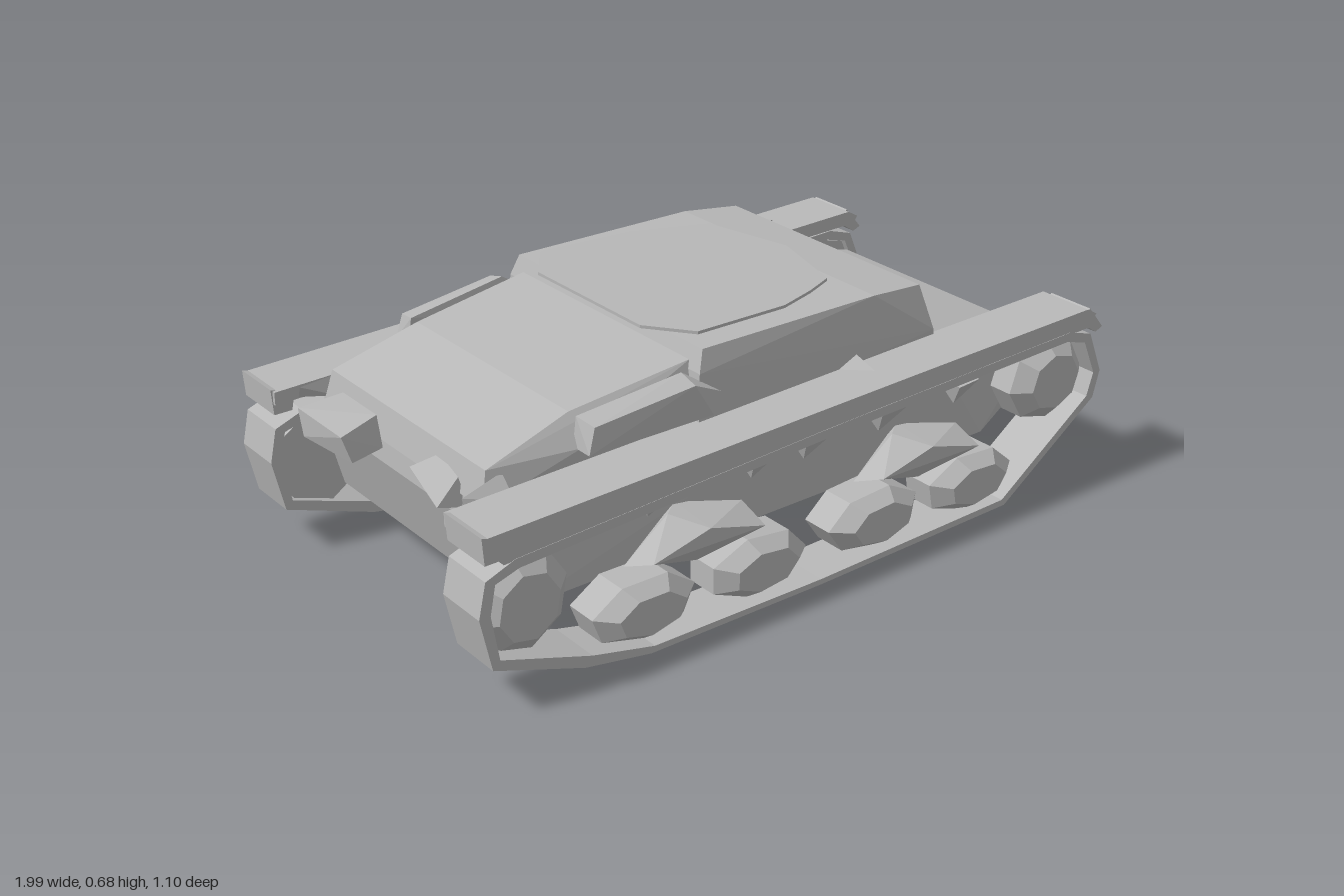
import * as THREE from 'three';
import { ConvexGeometry } from 'three/addons/geometries/ConvexGeometry.js';

const grey = new THREE.MeshStandardMaterial({ color: 0xb8b8b8, flatShading: true });

export function createModel() {
  const root = new THREE.Group();
  root.name = 'tank';

  const add = (name, geometry) => {
    const mesh = new THREE.Mesh(geometry, grey);
    mesh.name = name;
    root.add(mesh);
    return mesh;
  };
  // faceted solid around a few corner points
  const solid = (name, pts) =>
    add(name, new ConvexGeometry(pts.map((p) => new THREE.Vector3(...p))));
  // side profile [x, y] swept between two z values
  const slab = (name, profile, z0, z1) =>
    solid(name, profile.flatMap(([x, y]) => [[x, y, z0], [x, y, z1]]));
  // symmetric solid from [x, y, half width]
  const sym = (name, rows) =>
    solid(name, rows.flatMap(([x, y, w]) => [[x, y, w], [x, y, -w]]));

  // lower hull with sloped nose
  sym('hull', [
    [-0.8, 0.155, 0.4], [0.7, 0.155, 0.4], [0.86, 0.235, 0.38], [0.92, 0.385, 0.39],
    [0.48, 0.49, 0.4], [-0.85, 0.45, 0.37], [-0.86, 0.36, 0.38],
  ]);

  // sloped engine deck
  sym('engineDeck', [
    [-0.86, 0.42, 0.36], [-0.84, 0.505, 0.345], [-0.6, 0.575, 0.33], [-0.26, 0.62, 0.35],
    [-0.6, 0.5, 0.38], [-0.25, 0.45, 0.4],
  ]);

  // fighting compartment
  sym('superstructure', [
    [-0.28, 0.46, 0.41], [0.5, 0.47, 0.4], [0.5, 0.51, 0.4], [-0.25, 0.655, 0.385],
    [0.3, 0.65, 0.385], [0.47, 0.632, 0.37], [-0.27, 0.6, 0.4],
  ]);

  // thin roof plate, tilted towards the nose
  const roof = [
    [-0.31, -0.21], [-0.31, 0.22], [-0.22, 0.33], [0.06, 0.32], [0.18, 0.28], [0.27, 0.24],
    [0.34, 0], [0.28, -0.25], [0.06, -0.32], [-0.22, -0.33],
  ];
  solid('roofPlate', roof.flatMap(([x, z]) => {
    const y = 0.667 - 0.03 * x;
    return [[x, y, z], [x, y - 0.008, z]];
  }));

  // gusset from the front plate out to the fender
  solid('frontGusset', [
    [0.48, 0.632, -0.22], [0.49, 0.58, -0.4], [0.49, 0.505, -0.54], [0.49, 0.48, -0.4],
    [0.475, 0.632, -0.22], [0.484, 0.505, -0.54], [0.484, 0.48, -0.4],
  ]);

  // rear exhaust boxes
  solid('exhaustBox', [
    [-0.86, 0.4, -0.27], [-0.86, 0.48, -0.26], [-0.98, 0.47, -0.27], [-0.98, 0.4, -0.25],
    [-0.86, 0.4, -0.08], [-0.86, 0.48, -0.1], [-0.97, 0.46, -0.08], [-0.95, 0.39, -0.07],
  ]);
  solid('rearHook', [
    [-0.84, 0.38, 0.13], [-0.84, 0.47, 0.15], [-0.91, 0.45, 0.13],
    [-0.92, 0.4, 0.26], [-0.84, 0.38, 0.27], [-0.86, 0.46, 0.26],
  ]);

  // running gear profiles
  const outer = [
    [-1, 0.27], [-0.97, 0.13], [-0.72, 0.04], [-0.53, 0.005], [0.0, 0], [0.65, 0.01],
    [0.97, 0.235], [0.99, 0.31], [0.94, 0.43], [0.86, 0.455], [0, 0.43], [-0.9, 0.39], [-0.98, 0.36],
  ];
  const inner = [
    [-0.97, 0.27], [-0.95, 0.15], [-0.7, 0.065], [-0.52, 0.022], [0.0, 0.015], [0.64, 0.028],
    [0.945, 0.245], [0.965, 0.31], [0.92, 0.41], [0.85, 0.43], [0, 0.405], [-0.89, 0.365], [-0.955, 0.345],
  ];
  const toV2 = (list) => list.map(([x, y]) => new THREE.Vector2(x, y));
  const trackShape = new THREE.Shape(toV2(outer));
  trackShape.holes.push(new THREE.Path(toV2(inner)));

  // faceted wheel: full rim inboard, smaller offset face outboard
  const wheel = (name, s, x, y, rx, ry, n, turn, z0 = 0.42, z1 = 0.53) => {
    const pts = [];
    for (let i = 0; i < n; i++) {
      const a = turn + (i / n) * Math.PI * 2;
      const c = Math.cos(a), d = Math.sin(a);
      pts.push([x + rx * c, y + ry * d, s * z0], [x + rx * c, y + ry * d, s * (z1 - 0.04)]);
      pts.push([x + rx * 0.65 * c, y + ry * 0.65 * d, s * z1]);
    }
    solid(name, pts);
  };

  for (const s of [1, -1]) {
    const side = s > 0 ? 'Near' : 'Far';

    const track = add('track' + side,
      new THREE.ExtrudeGeometry(trackShape, { depth: 0.147, bevelEnabled: false }));
    track.position.z = s > 0 ? 0.402 : -0.549;

    // fender with turned-down nose and lip
    slab('fender' + side, [
      [-0.98, 0.43], [-0.98, 0.465], [0.3, 0.493], [0.92, 0.505], [0.955, 0.485], [0.94, 0.465],
    ], s * 0.39, s * 0.55);
    slab('fenderLip' + side, [
      [-0.93, 0.385], [-0.97, 0.44], [0.92, 0.48], [0.94, 0.45], [0, 0.42],
    ], s * 0.53, s * 0.548);
    slab('fenderNose' + side, [
      [0.9, 0.47], [0.93, 0.505], [0.985, 0.44], [0.96, 0.43],
    ], s * 0.41, s * 0.548);
    slab('fenderTail' + side, [
      [-0.98, 0.4], [-0.985, 0.47], [-0.92, 0.45], [-0.93, 0.4],
    ], s * 0.4, s * 0.55);

    // idler and drive sprocket
    wheel('rearIdler' + side, s, -0.853, 0.24, 0.13, 0.135, 8, 0.2);
    wheel('driveSprocket' + side, s, 0.84, 0.31, 0.135, 0.12, 8, 0.1);

    // squat road wheels
    [[-0.515, 0.1, 0.2], [-0.165, 0.095, 0.9], [0.22, 0.095, 0.35], [0.56, 0.095, 0.1]]
      .forEach(([x, y, turn]) =>
        wheel('roadWheel' + side, s, x, y, 0.155, 0.082, 7, turn, 0.41, 0.54));

    // bogie arms joining the wheel pairs
    for (const [x, y] of [[-0.34, 0.21], [0.39, 0.2]]) {
      solid('bogie' + side, [
        [x - 0.19, y - 0.02, s * 0.44], [x - 0.05, y + 0.07, s * 0.43], [x + 0.17, y + 0.04, s * 0.44],
        [x + 0.19, y - 0.04, s * 0.46], [x - 0.16, y + 0.01, s * 0.52], [x + 0.01, y + 0.05, s * 0.52],
        [x + 0.18, y, s * 0.52], [x, y - 0.05, s * 0.48], [x, y + 0.07, s * 0.39],
      ]);
    }

    // small return rollers and brackets
    for (const [x, r] of [[-0.46, 0.05], [-0.15, 0.04], [0.02, 0.045], [0.27, 0.045], [0.53, 0.035]]) {
      solid('returnRoller' + side, [
        [x - r, 0.41, s * 0.39], [x + r, 0.41, s * 0.39], [x - r, 0.385, s * 0.51],
        [x + r, 0.39, s * 0.51], [x - r * 0.4, 0.32, s * 0.47], [x + r * 0.7, 0.34, s * 0.43],
      ]);
    }

    // air intake box beside the engine deck
    solid('intakeBox' + side, [
      [-0.61, 0.5, s * 0.36], [-0.61, 0.5, s * 0.425], [-0.6, 0.575, s * 0.36], [-0.59, 0.565, s * 0.42],
      [-0.31, 0.61, s * 0.38], [-0.31, 0.595, s * 0.435], [-0.22, 0.55, s * 0.42],
      [-0.25, 0.5, s * 0.43], [-0.24, 0.5, s * 0.36],
    ]);

    // rear corner bracket and fender fitting
    solid('rearBracket' + side, [
      [-0.92, 0.44, s * 0.38], [-0.92, 0.47, s * 0.37], [-0.8, 0.49, s * 0.35],
      [-0.8, 0.44, s * 0.4], [-0.83, 0.43, s * 0.35],
    ]);
    solid('fenderFitting' + side, [
      [0.14, 0.48, s * 0.4], [0.25, 0.48, s * 0.4], [0.23, 0.515, s * 0.4], [0.235, 0.48, s * 0.5],
    ]);
  }

  return root;
}
